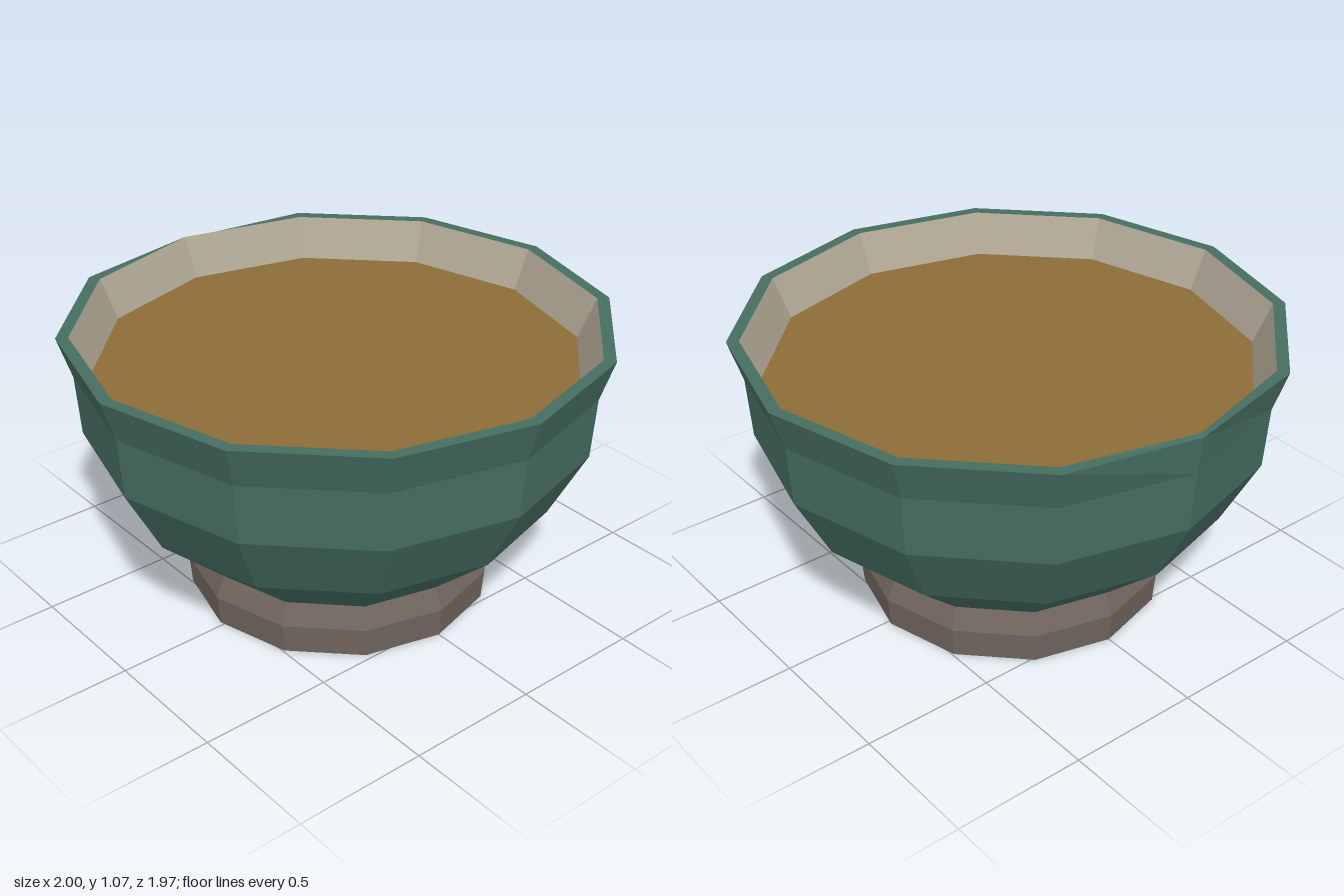
import * as THREE from 'three';

const SIDES = 12;

function material(name, color) {
  const m = new THREE.MeshStandardMaterial({ color, flatShading: true });
  m.name = name;
  return m;
}

// Turns a profile of [radius, height] points into a twelve-sided part
function turned(name, profile, mat) {
  const points = profile.map(([r, y]) => new THREE.Vector2(r, y));
  const mesh = new THREE.Mesh(new THREE.LatheGeometry(points, SIDES), mat);
  mesh.name = name;
  return mesh;
}

export function createModel() {
  const green = material('green glaze', 0x466e62);
  const cream = material('cream lining', 0xb0a795);
  const brown = material('brown clay', 0x72665f);
  const broth = material('golden broth', 0x8c6d37);

  const group = new THREE.Group();
  group.name = 'bowl';

  // Foot ring with a recessed underside
  group.add(turned('foot', [
    [0, 0.06], [0.475, 0.06], [0.57, 0], [0.58, 0.115], [0.545, 0.2],
  ], brown));

  // Outer shell, ending in the flat rim
  const shellProfile = [
    [0.545, 0.197], [0.8, 0.43], [0.935, 0.69], [0.95, 0.917], [1, 1.072], [0.955, 1.072],
  ];
  const shell = turned('outerShell', shellProfile, green);
  // Small chip in the rim at the back
  const chip = (SIDES / 2) * shellProfile.length + 4;
  shell.geometry.attributes.position.setXYZ(chip, 0, 1.06, -0.966);
  shell.geometry.computeVertexNormals();
  group.add(shell);

  // Inner wall down to the broth
  group.add(turned('innerWall', [[0.955, 1.072], [0.89, 0.92]], cream));

  // Broth surface
  group.add(turned('broth', [[0.89, 0.92], [0, 0.92]], broth));

  // The chip shortens the back, so shift to stay centred
  for (const part of group.children) part.position.z = -0.017;
  return group;
}
